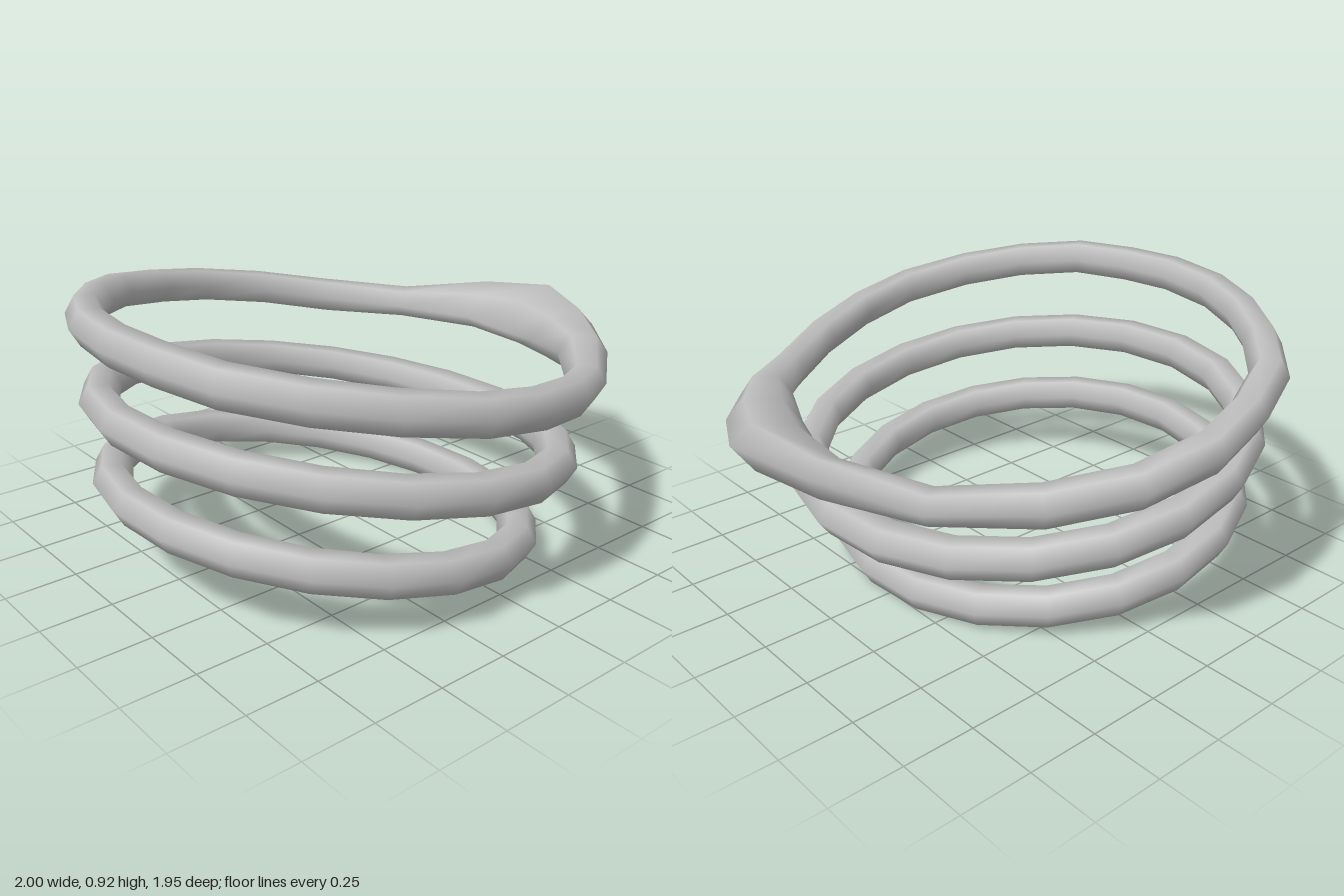
import * as THREE from 'three';

const SIDES = 6;

// Closed tube from stations {x, z: outer edge, w: radial width, h: height, y: centre height, lift: outer edge rise}
function ringGeometry(stations, cx, cz) {
  const n = stations.length, pos = [], idx = [];
  stations.forEach(({ x, z, w, h, y, lift }) => {
    const len = Math.hypot(x - cx, z - cz);
    const nx = (x - cx) / len, nz = (z - cz) / len;
    for (let j = 0; j < SIDES; j++) {
      const v = (j / SIDES) * Math.PI * 2;
      const out = (Math.cos(v) - 1) * w / 2;
      pos.push(x + nx * out, y + Math.sin(v) * h / 2 + lift * Math.cos(v), z + nz * out);
    }
  });
  for (let i = 0; i < n; i++) {
    for (let j = 0; j < SIDES; j++) {
      const i2 = (i + 1) % n, j2 = (j + 1) % SIDES;
      const a = i * SIDES + j, b = i * SIDES + j2, c = i2 * SIDES + j, d = i2 * SIDES + j2;
      idx.push(a, b, c, b, d, c);
    }
  }
  const g = new THREE.BufferGeometry();
  g.setAttribute('position', new THREE.Float32BufferAttribute(pos, 3));
  g.setIndex(idx);
  g.computeVertexNormals();
  return g;
}

// Plain tilted oval ring, optionally wider on its low side
function ovalRing(cx, cz, rx, rz, y0, slope, extra) {
  const n = 20, stations = [];
  for (let i = 0; i < n; i++) {
    const t = ((i + 0.3) / n) * Math.PI * 2;
    const x = cx + rx * Math.cos(t), z = cz + rz * Math.sin(t);
    const w = 0.135 + extra * Math.max(0, Math.cos(t)) ** 4;
    const centreX = x - Math.cos(t) * w / 2;
    stations.push({ x, z, w, h: 0.136, y: y0 + slope * centreX, lift: 0 });
  }
  return ringGeometry(stations, cx, cz);
}

// Top ring: outer outline, starting at the tip of the swollen side
const TOP_OUTLINE = [
  [1, 0.1], [0.88, 0.35], [0.71, 0.56], [0.48, 0.74], [0.23, 0.88], [-0.03, 0.96], [-0.29, 0.97],
  [-0.55, 0.88], [-0.76, 0.73], [-0.92, 0.52], [-0.98, 0.27], [-1, 0.04], [-0.96, -0.22],
  [-0.86, -0.45], [-0.71, -0.66], [-0.53, -0.83], [-0.29, -0.93], [-0.04, -0.98],
  [0.24, -0.93], [0.49, -0.77], [0.74, -0.52], [0.92, -0.2],
];
// Swelling by station index: [width, height, centre height, lift]
const SWELL = {
  0: [0.3, 0.19, 0.645, 0.045],
  1: [0.25, 0.18, 0.64, 0.02],
  2: [0.18, 0.15, 0.64, 0],
  20: [0.15, 0.115, 0.605, 0.005],
  21: [0.19, 0.155, 0.63, 0.035],
};

function topRing() {
  const cx = -0.04, cz = 0;
  const stations = TOP_OUTLINE.map(([x, z], i) => {
    const centreX = x - (x - cx) * 0.07;
    const [w, h, y, lift] = SWELL[i] ?? [0.135, 0.136, 0.705 - 0.182 * centreX, 0];
    return { x, z, w, h, y, lift };
  });
  return ringGeometry(stations, cx, cz);
}

export function createModel() {
  const group = new THREE.Group();
  const metal = new THREE.MeshStandardMaterial({ color: 0xbfbfbf });
  metal.name = 'greyMetal';

  const add = (name, geometry) => {
    const mesh = new THREE.Mesh(geometry, metal);
    mesh.name = name;
    group.add(mesh);
  };
  add('lowerRing', ovalRing(-0.2, 0.03, 0.75, 0.82, 0.152, -0.174, 0));
  add('middleRing', ovalRing(-0.125, 0.02, 0.84, 0.89, 0.43, -0.17, 0.03));
  add('upperRing', topRing());
  return group;
}
